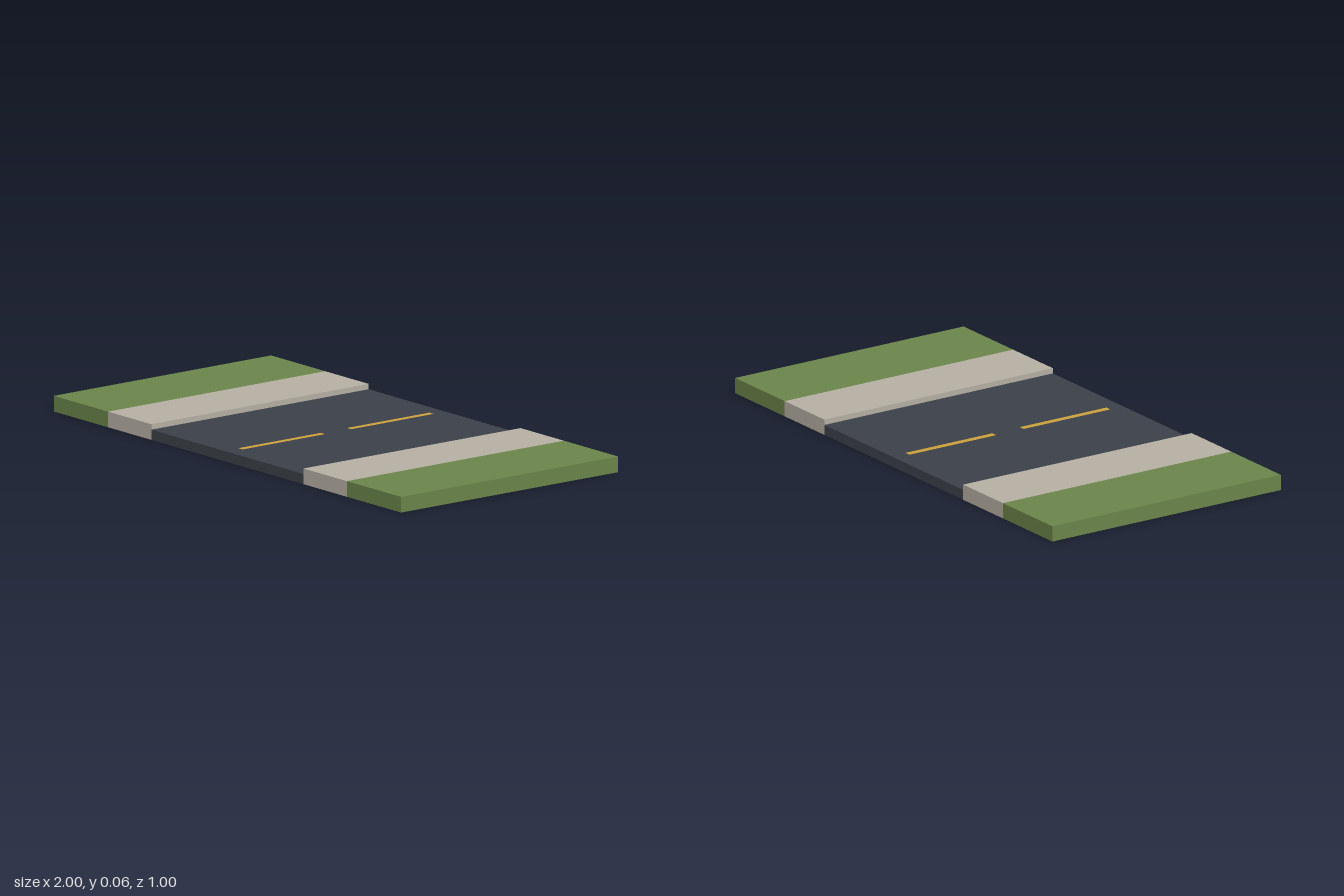
import * as THREE from 'three';

const material = (name, color) => {
  const m = new THREE.MeshStandardMaterial({ color, side: THREE.DoubleSide });
  m.name = name;
  return m;
};

// Hollow slab open underneath; keep lists box sides: 0 +x, 1 -x, 2 top, 4 front, 5 back
function shell(name, mat, x0, x1, height, keep) {
  const geo = new THREE.BoxGeometry(x1 - x0, height, 1);
  geo.translate((x0 + x1) / 2, height / 2, 0);
  const index = Array.from(geo.index.array);
  geo.setIndex(keep.flatMap((side) => index.slice(side * 6, side * 6 + 6)));
  geo.clearGroups();
  const mesh = new THREE.Mesh(geo, mat);
  mesh.name = name;
  return mesh;
}

export function createModel() {
  const group = new THREE.Group();
  group.name = 'roadSection';

  const grass = material('grass', 0x6a8449);
  const concrete = material('concrete', 0xb5afa3);
  const asphalt = material('asphalt', 0x3c4149);
  const paint = material('yellow paint', 0xcca03c);

  const curbX = 0.4375, vergeX = 0.6875, edgeX = 1;
  const walkY = 0.058, roadY = 0.038;

  // Carriageway
  group.add(shell('road', asphalt, -curbX, curbX, roadY, [2, 4, 5]));

  // Left and right pavements with curb walls, and verges with outer walls
  group.add(shell('leftSidewalk', concrete, curbX, vergeX, walkY, [1, 2, 4, 5]));
  group.add(shell('rightSidewalk', concrete, -vergeX, -curbX, walkY, [0, 2, 4, 5]));
  group.add(shell('leftVerge', grass, vergeX, edgeX, walkY, [0, 2, 4, 5]));
  group.add(shell('rightVerge', grass, -edgeX, -vergeX, walkY, [1, 2, 4, 5]));

  // Centre line dashes
  for (const z of [-0.25, 0.25]) {
    const dash = new THREE.Mesh(new THREE.PlaneGeometry(0.025, 0.38).rotateX(-Math.PI / 2), paint);
    dash.position.set(0, roadY + 0.002, z);
    dash.name = z > 0 ? 'frontLaneDash' : 'backLaneDash';
    group.add(dash);
  }

  return group;
}
